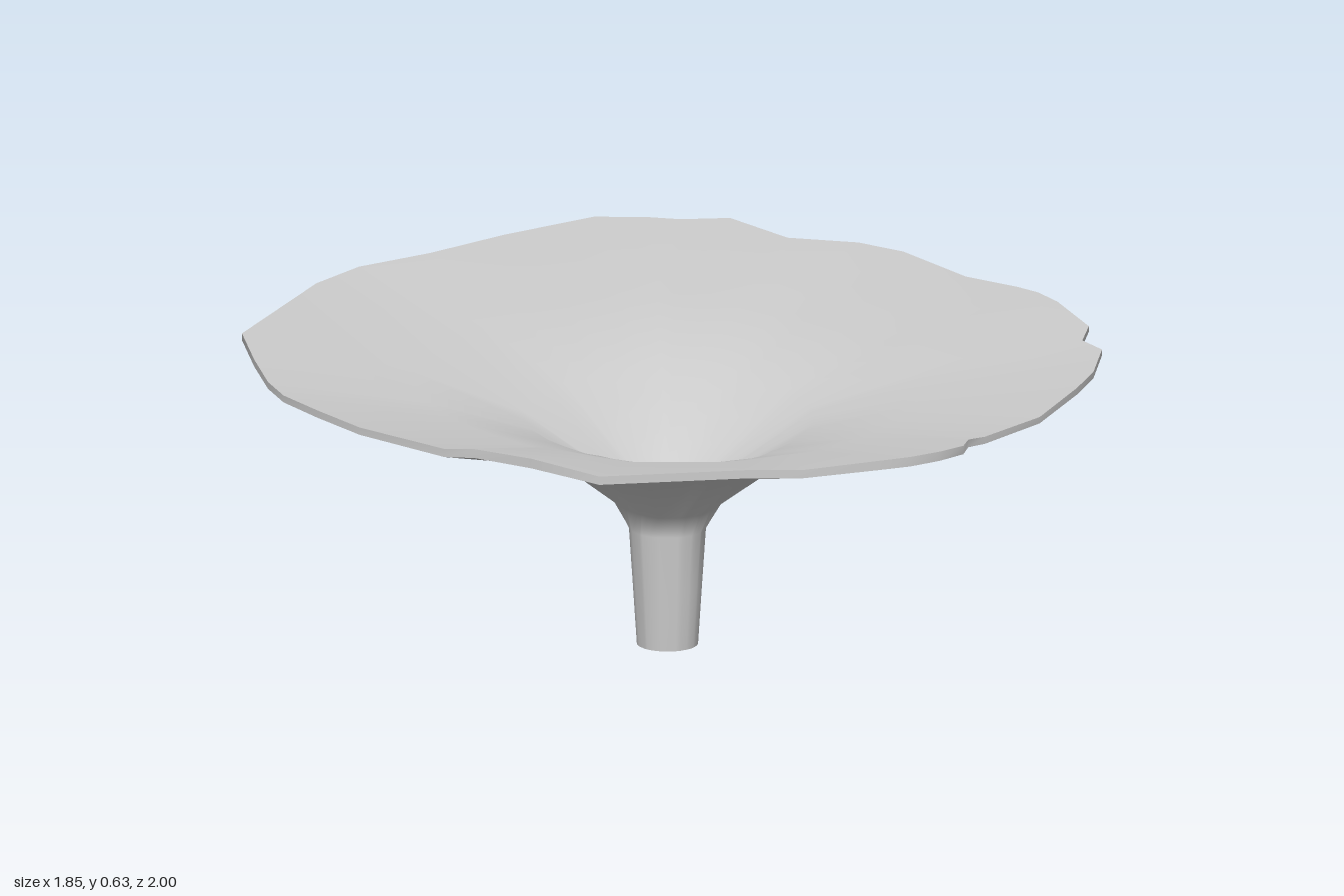
import * as THREE from 'three';

const material = new THREE.MeshStandardMaterial({ color: 0xcccccc, side: THREE.DoubleSide });
const STEM = { x: -0.2, z: 0.19 };

// Ragged cap outline as x, z pairs, from the back round by the left side
const OUTLINE = [
  -0.10, -1, 0.08, -0.96, 0.30, -0.955, 0.55, -0.93, 0.64, -0.84, 0.68, -0.78, 0.77, -0.71,
  0.77, -0.51, 0.88, -0.39, 0.92, -0.28, 0.90, -0.04, 0.92, 0.12, 0.92, 0.19, 0.90, 0.28,
  0.83, 0.47, 0.75, 0.54, 0.74, 0.62, 0.61, 0.74, 0.50, 0.81, 0.30, 0.91, 0.10, 0.95,
  0.05, 0.95, 0, 0.99, -0.08, 1, -0.16, 0.99, -0.23, 0.96, -0.39, 0.88, -0.48, 0.80,
  -0.77, 0.61, -0.82, 0.43, -0.86, 0.28, -0.90, 0.22, -0.93, -0.04, -0.92, -0.20,
  -0.90, -0.34, -0.86, -0.44, -0.78, -0.58, -0.67, -0.75, -0.25, -0.975,
];
const N = OUTLINE.length / 2;

// Each outline point as a direction and distance from the stem axis
const spokes = Array.from({ length: N }, (_, j) => {
  const dx = OUTLINE[2 * j] - STEM.x, dz = OUTLINE[2 * j + 1] - STEM.z;
  const d = Math.hypot(dx, dz);
  return { ux: dx / d, uz: dz / d, d };
});
spokes.forEach((s, j) => {
  s.smooth = (spokes[(j + N - 1) % N].d + s.d + spokes[(j + 1) % N].d) / 3;
  const a = Math.atan2(s.uz, s.ux);
  s.wave = Math.sin(5 * a) * 0.6 + Math.sin(9 * a + 1) * 0.4;
});

// Lofts rings: r = plain radius, f = share of the outline, tilt = rise to back left, wave = ripple
function loft(name, rings) {
  const pos = [], index = [];
  for (const { r = 0, f = 0, y, tilt = 0, wave = 0 } of rings) {
    for (const s of spokes) {
      const d = r + f * (f === 1 ? s.d : s.smooth);
      const dx = s.ux * d, dz = s.uz * d;
      pos.push(STEM.x + dx, y + tilt * (dx - dz) + wave * s.wave, STEM.z + dz);
    }
  }
  for (let i = 0; i < rings.length - 1; i++) {
    for (let j = 0; j < N; j++) {
      const k = (j + 1) % N;
      const a = i * N + j, b = a + N, c = i * N + k, d = c + N;
      index.push(a, b, c, b, d, c);
    }
  }
  const geometry = new THREE.BufferGeometry();
  geometry.setAttribute('position', new THREE.Float32BufferAttribute(pos, 3));
  geometry.setIndex(index);
  geometry.computeVertexNormals();
  const mesh = new THREE.Mesh(geometry, material);
  mesh.name = name;
  return mesh;
}

export function createModel() {
  const group = new THREE.Group();
  group.name = 'funnelMushroom';
  const rimLow = { f: 1, y: 0.592, tilt: 0.013, wave: 0.006 };
  const rimHigh = { f: 1, y: 0.608, tilt: 0.008, wave: 0.009 };

  group.add(
    loft('stemBase', [{ y: 0 }, { r: 0.07, y: 0 }]),
    // Stem flaring into the underside of the cap
    loft('stemAndUnderside', [
      { r: 0.07, y: 0 },
      { r: 0.079, y: 0.14 },
      { r: 0.088, y: 0.275 },
      { f: 0.133, y: 0.335, tilt: 0.1 },
      { f: 0.34, y: 0.47, tilt: 0.05 },
      { f: 0.6, y: 0.53, tilt: 0.045 },
      rimLow,
    ]),
    loft('capRim', [rimLow, rimHigh]),
    // Hollow upper face sinking to the stem axis
    loft('capTop', [
      rimHigh,
      { f: 0.6, y: 0.565, tilt: 0.03, wave: 0.004 },
      { f: 0.34, y: 0.505, tilt: 0.04 },
      { f: 0.13, y: 0.385, tilt: 0.06 },
      { f: 0.05, y: 0.33 },
      { y: 0.315 },
    ]),
  );
  return group;
}
